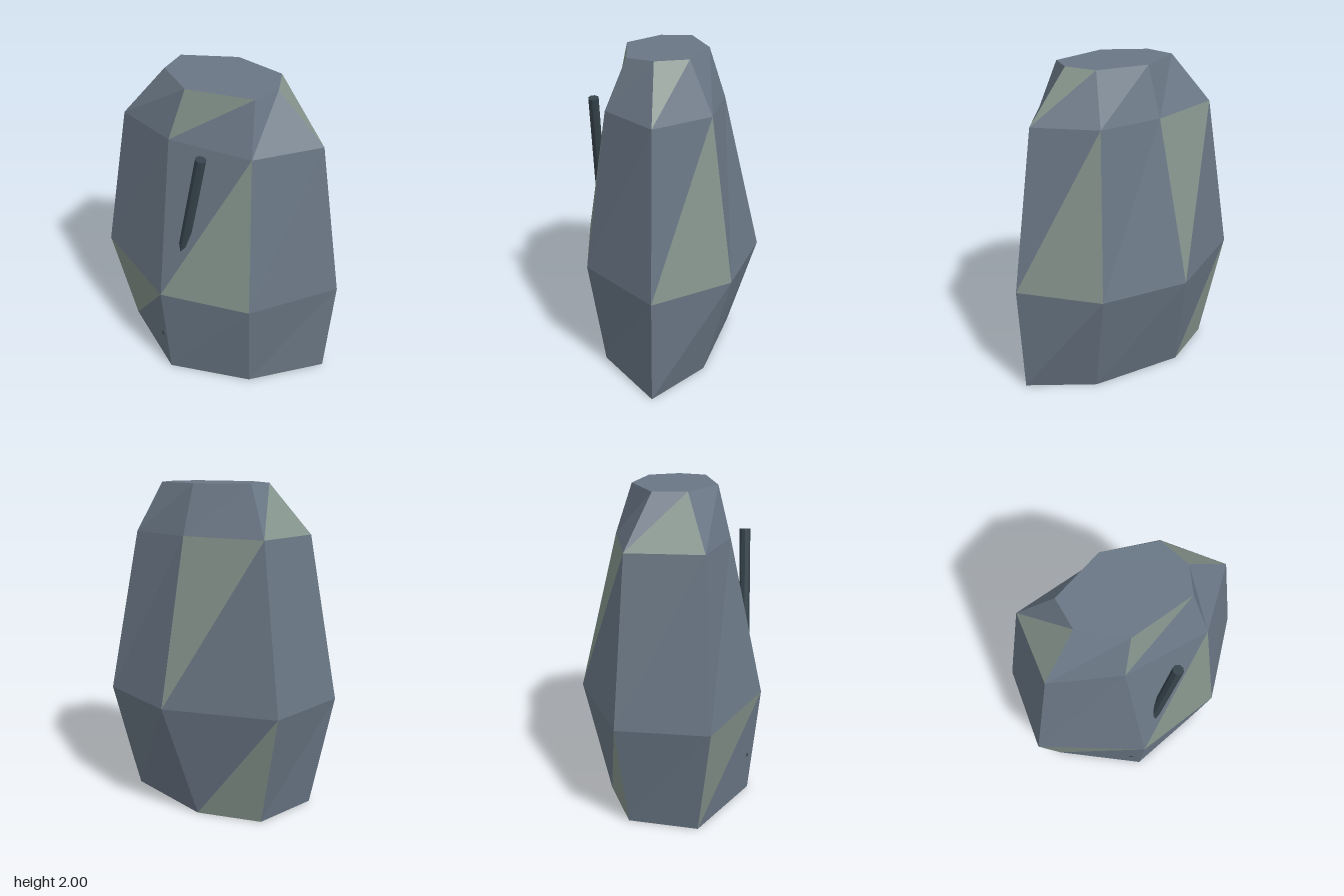
import * as THREE from 'three';

const slate = new THREE.MeshStandardMaterial({ name: 'slate', color: 0x697684, flatShading: true });
const moss = new THREE.MeshStandardMaterial({ name: 'moss', color: 0x83928a, flatShading: true });
const darkVein = new THREE.MeshStandardMaterial({ name: 'dark vein', color: 0x36434c, flatShading: true });

// Seven-sided cross-sections of the boulder, from the ground up: [x, z]
const rings = [
  { y: 0, pts: [[0.735, -0.03], [0.37, -0.3], [-0.23, -0.39], [-0.6, -0.23], [-0.66, 0.2], [-0.15, 0.51], [0.37, 0.35]] },
  { y: 0.7, pts: [[0.775, -0.04], [0.44, -0.465], [-0.115, -0.58], [-0.75, -0.285], [-0.78, 0.27], [-0.15, 0.575], [0.41, 0.44]] },
  { y: 1.7, pts: [[0.615, -0.02], [0.335, -0.315], [-0.08, -0.34], [-0.59, -0.23], [-0.6, 0.22], [-0.185, 0.355], [0.335, 0.31]] },
  { y: 2, pts: [[0.335, 0.02], [0.255, -0.17], [-0.07, -0.24], [-0.385, -0.09], [-0.365, 0.11], [-0.115, 0.275], [0.28, 0.19]] },
];

// Mossy facets, as band-side-half
const mossy = new Set(['0-4-upper', '0-2-lower', '1-5-lower', '1-0-lower', '1-2-upper', '2-5-upper', '2-0-upper', '2-3-lower']);

function facetMesh(name, positions, material) {
  const geometry = new THREE.BufferGeometry();
  geometry.setAttribute('position', new THREE.Float32BufferAttribute(positions, 3));
  geometry.computeVertexNormals();
  const mesh = new THREE.Mesh(geometry, material);
  mesh.name = name;
  return mesh;
}

export function createModel() {
  const group = new THREE.Group();
  group.name = 'boulder';
  const stone = [], mossFaces = [];
  const sides = 7;
  const at = (r, i) => {
    const [x, z] = rings[r].pts[i % sides];
    return [x, rings[r].y, z];
  };

  // Sides: each panel is split into two facets
  for (let r = 0; r < rings.length - 1; r++) {
    for (let i = 0; i < sides; i++) {
      const lower = mossy.has(`${r}-${i}-lower`) ? mossFaces : stone;
      const upper = mossy.has(`${r}-${i}-upper`) ? mossFaces : stone;
      lower.push(...at(r, i), ...at(r, i + 1), ...at(r + 1, i + 1));
      upper.push(...at(r, i), ...at(r + 1, i + 1), ...at(r + 1, i));
    }
  }

  // Flat top and underside
  for (let i = 1; i < sides - 1; i++) {
    stone.push(...at(3, 0), ...at(3, i), ...at(3, i + 1));
    mossFaces.push(...at(0, 0), ...at(0, i + 1), ...at(0, i));
  }
  group.add(facetMesh('stoneFacets', stone, slate), facetMesh('mossFacets', mossFaces, moss));

  // Slanted rod, mostly sunk into the front of the stone
  const top = new THREE.Vector3(0.09, 1.7, 0.444);
  const bottom = new THREE.Vector3(-0.197, 0.26, 0.475);
  const axis = top.clone().sub(bottom);
  const rod = new THREE.Mesh(new THREE.CylinderGeometry(0.033, 0.033, axis.length(), 8), darkVein);
  rod.name = 'frontVein';
  rod.position.copy(top).add(bottom).multiplyScalar(0.5);
  rod.quaternion.setFromUnitVectors(new THREE.Vector3(0, 1, 0), axis.normalize());
  group.add(rod);

  return group;
}
